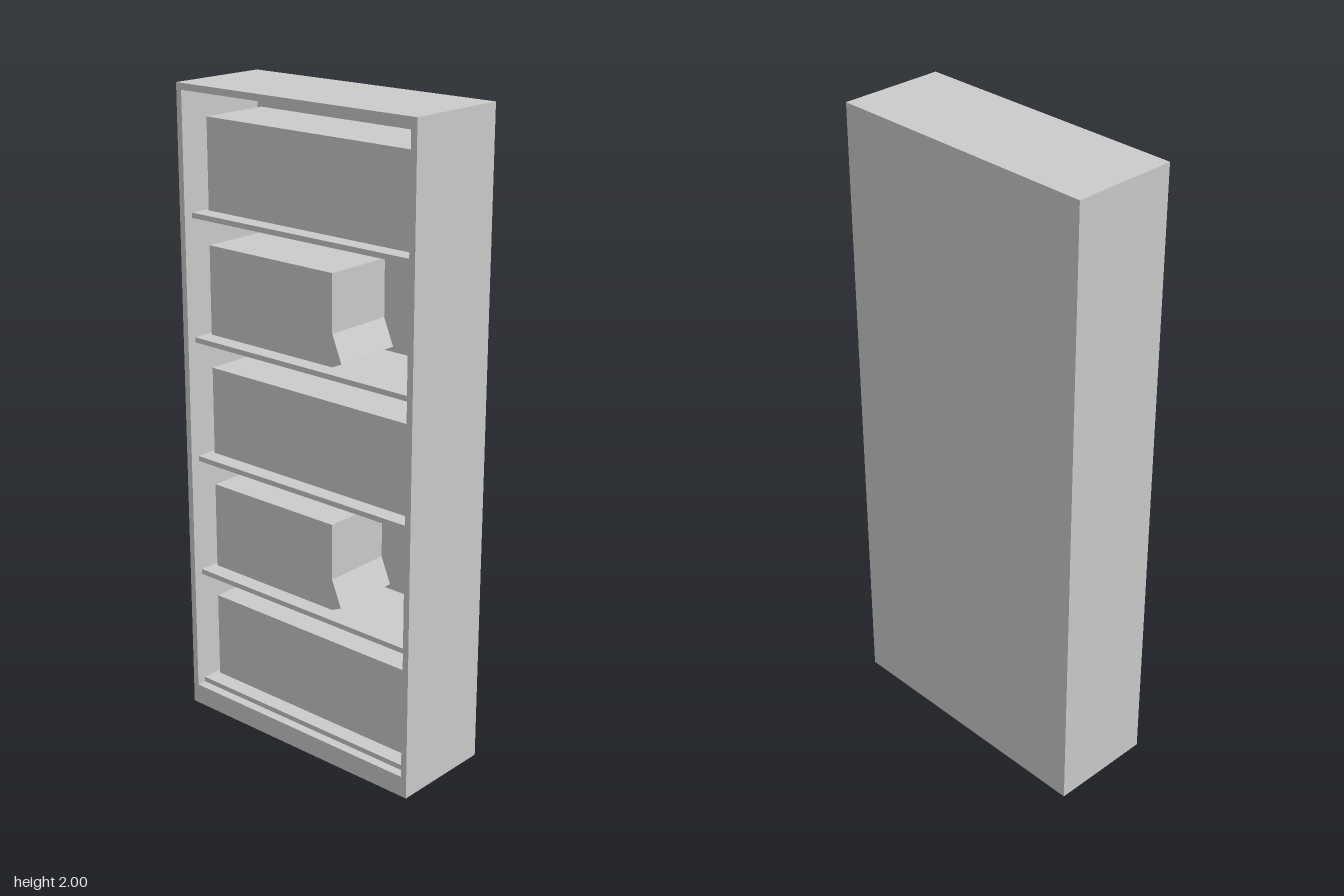
import * as THREE from 'three';

const W = 0.89, H = 2, D = 0.334, WALL = 0.02;
const INNER_W = W - 2 * WALL, PLINTH = 0.065;
const BACK = -D / 2 + WALL;          // inner face of the back panel
const SHELF_T = 0.016, SHELF_STEP = 0.384, SHELF_FRONT = D / 2 - 0.03;
const BOOK_FRONT = 0.083, BOOK_H = 0.278, BOOK_X = 0.41;

export function createModel() {
  const group = new THREE.Group();
  const material = new THREE.MeshStandardMaterial({ color: 0xcccccc, flatShading: true });

  const add = (name, geometry, x = 0, y = 0, z = 0) => {
    const mesh = new THREE.Mesh(geometry, material);
    mesh.name = name;
    mesh.position.set(x, y, z);
    group.add(mesh);
  };
  const polygon = (points) => points.map(([x, y]) => new THREE.Vector2(x, y));
  const extrude = (shape, depth) =>
    new THREE.ExtrudeGeometry(shape, { depth, bevelEnabled: false });

  // Case: sides, top and plinth as one frame around the opening
  const frame = new THREE.Shape(polygon([[-W / 2, 0], [W / 2, 0], [W / 2, H], [-W / 2, H]]));
  const ix = INNER_W / 2, top = H - WALL;
  frame.holes.push(new THREE.Path(polygon([[-ix, PLINTH], [-ix, top], [ix, top], [ix, PLINTH]])));
  add('caseFrame', extrude(frame, D), 0, 0, -D / 2);
  add('backPanel', new THREE.BoxGeometry(INNER_W, top - PLINTH, WALL),
    0, (top + PLINTH) / 2, -D / 2 + WALL / 2);

  // Row of books filling a shelf
  const fullRow = new THREE.Shape(polygon([
    [-BOOK_X, 0], [BOOK_X, 0], [BOOK_X, BOOK_H], [-BOOK_X, BOOK_H]]));
  // Shorter row whose last book leans outwards at the foot
  const shortRow = new THREE.Shape(polygon([
    [-BOOK_X, 0], [0.08, 0], [0.115, 0.016], [0.08, 0.1], [0.08, BOOK_H], [-BOOK_X, BOOK_H]]));

  // Shelves set back from the front edge, with alternating rows of books
  for (let i = 0; i < 5; i++) {
    const y = PLINTH + i * SHELF_STEP;
    add('shelf', new THREE.BoxGeometry(INNER_W, SHELF_T, SHELF_FRONT - BACK),
      0, y + SHELF_T / 2, (SHELF_FRONT + BACK) / 2);
    add('bookRow', extrude(i % 2 ? shortRow : fullRow, BOOK_FRONT - BACK), 0, y + SHELF_T, BACK);
  }
  return group;
}
